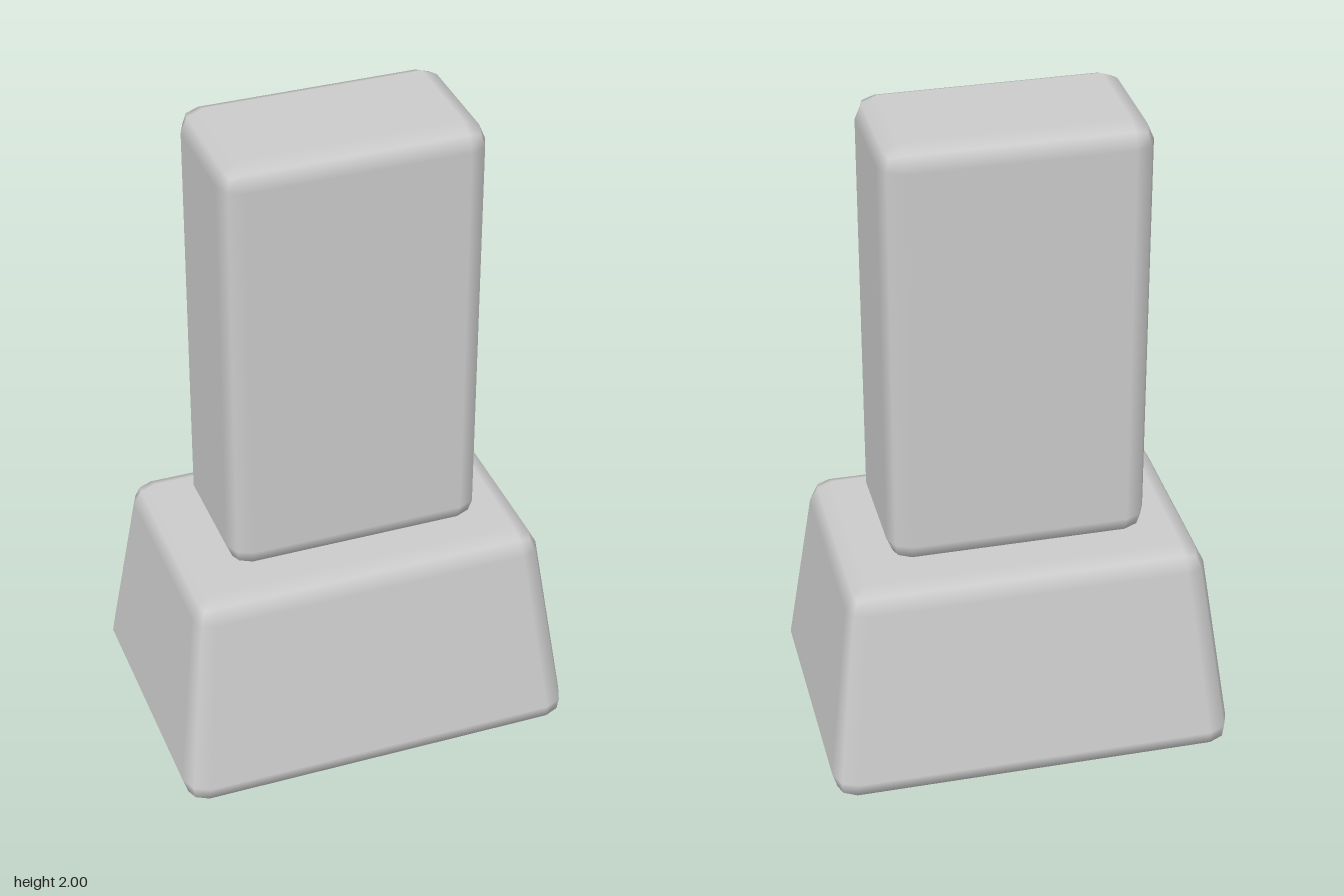
import * as THREE from 'three';

const material = new THREE.MeshStandardMaterial({ color: 0xcccccc });

// Box with two-step rounded edges, flat faces and smooth normals.
// taperX and taperZ are the relative narrowing per unit of height.
function bevelledBox(name, w, h, d, r, y, taperX = 0, taperZ = 0) {
  const geometry = new THREE.BoxGeometry(1, 1, 1, 3, 3, 3);
  const pos = geometry.attributes.position;
  const nor = geometry.attributes.normal;
  const inner = new THREE.Vector3(w / 2 - r, h / 2 - r, d / 2 - r);
  const p = new THREE.Vector3();
  const n = new THREE.Vector3();
  const outward = (c) => (Math.abs(c) > 0.4 ? Math.sign(c) : 0);

  for (let i = 0; i < pos.count; i++) {
    p.fromBufferAttribute(pos, i);
    n.set(outward(p.x), outward(p.y), outward(p.z)).normalize();
    p.set(Math.sign(p.x), Math.sign(p.y), Math.sign(p.z)).multiply(inner).addScaledVector(n, r);

    // Narrow towards the top and tilt the normals to suit
    const sx = 1 - taperX * p.y;
    const sz = 1 - taperZ * p.y;
    n.set(n.x / sx, n.y + (p.x * taperX * n.x) / sx + (p.z * taperZ * n.z) / sz, n.z / sz).normalize();
    pos.setXYZ(i, p.x * sx, p.y, p.z * sz);
    nor.setXYZ(i, n.x, n.y, n.z);
  }

  const mesh = new THREE.Mesh(geometry, material);
  mesh.name = name;
  mesh.position.y = y + h / 2;
  return mesh;
}

export function createModel() {
  const model = new THREE.Group();
  model.name = 'pillarOnBase';
  // Tapered foot
  model.add(bevelledBox('base', 1.15, 0.667, 0.796, 0.066, 0, 0.226, 0.424));
  // Upright block standing on it
  model.add(bevelledBox('pillar', 0.776, 1.333, 0.442, 0.066, 0.667));
  return model;
}
